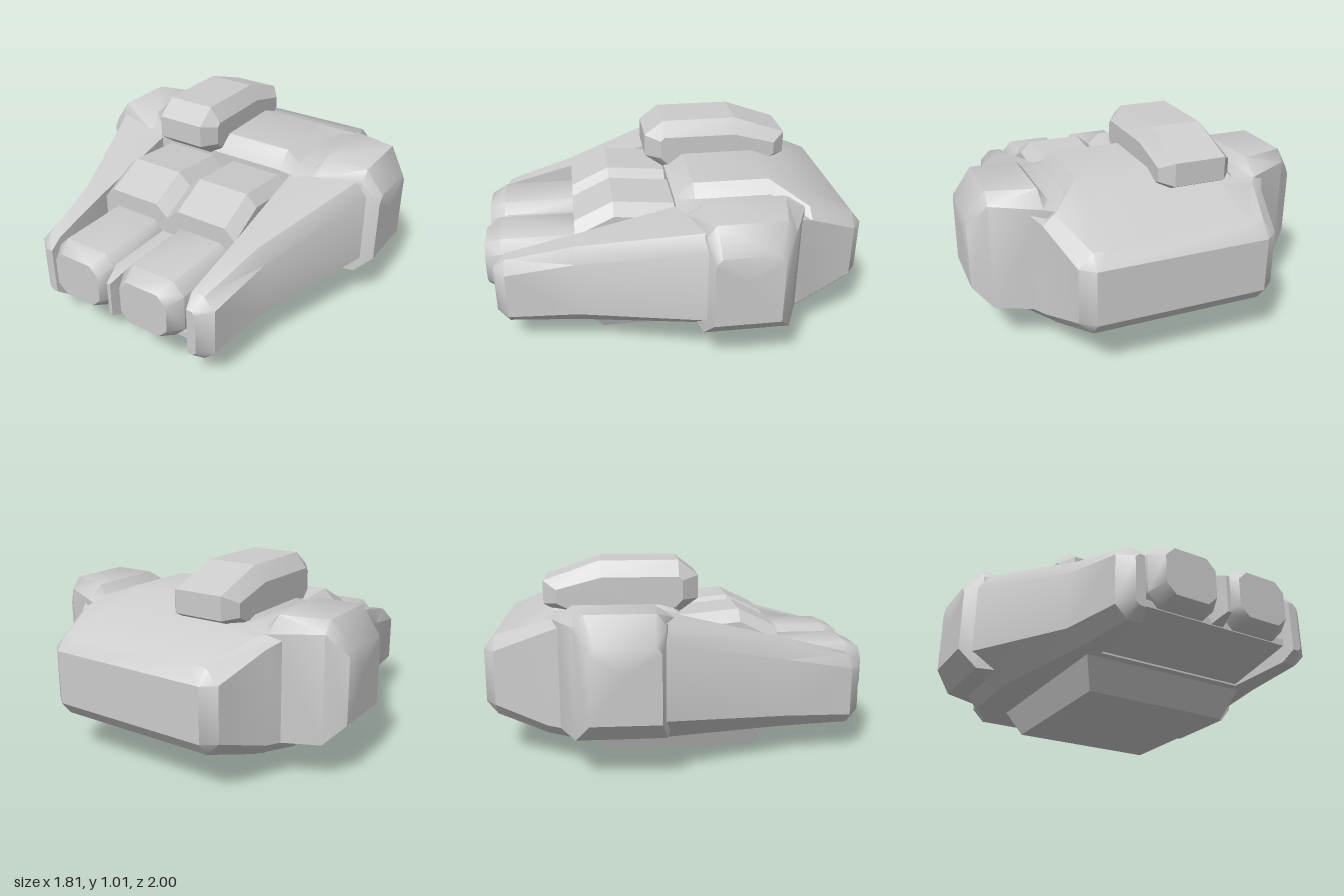
import * as THREE from 'three';
import { toCreasedNormals } from 'three/addons/utils/BufferGeometryUtils.js';

const material = new THREE.MeshStandardMaterial({ color: 0xcccccc });

// Skin a list of equal-length point loops and cap both ends; winding is made outward.
function loft(name, loops, crease = 0.6) {
  const n = loops[0].length;
  const pts = loops.flat();
  const tris = [];
  for (let i = 0; i < loops.length - 1; i++) {
    for (let j = 0; j < n; j++) {
      const a = i * n + j, b = i * n + (j + 1) % n;
      tris.push([a, b, b + n], [a, b + n, a + n]);
    }
  }
  for (const end of [0, loops.length - 1]) {
    const c = [0, 1, 2].map(k => loops[end].reduce((s, p) => s + p[k], 0) / n);
    const ci = pts.push(c) - 1;
    for (let j = 0; j < n; j++) {
      const a = end * n + j, b = end * n + (j + 1) % n;
      tris.push(end === 0 ? [ci, b, a] : [ci, a, b]);
    }
  }
  const v = pts.map(p => new THREE.Vector3(...p));
  const volume = tris.reduce((s, [a, b, c]) => s + v[a].dot(v[b].clone().cross(v[c])), 0);
  if (volume < 0) tris.forEach(t => t.reverse());
  // skip triangles that collapse where corners meet
  const solid = tris.filter(([a, b, c]) =>
    v[b].clone().sub(v[a]).cross(v[c].clone().sub(v[a])).length() > 1e-7);
  const geo = new THREE.BufferGeometry().setFromPoints(v);
  geo.setIndex(solid.flat());
  const mesh = new THREE.Mesh(toCreasedNormals(geo, crease), material);
  mesh.name = name;
  return mesh;
}

// Loop at depth z from [x, y] points
const atZ = (z, xy, s = 1) => xy.map(([x, y]) => [s * x, y, z]);
// Loop at position x from [z, y] points
const atX = (x, zy) => zy.map(([z, y]) => [x, y, z]);
// Symmetric loop from the +x half, listed bottom to top
const both = half => [...half, ...half.map(([x, y]) => [-x, y]).reverse()];

// Rectangle with cut corners
function octagon(x0, x1, y0, y1, cx, cy) {
  return [[x0 + cx, y0], [x1 - cx, y0], [x1, y0 + cy], [x1, y1 - cy],
    [x1 - cx, y1], [x0 + cx, y1], [x0, y1 - cy], [x0, y0 + cy]];
}

function createModel() {
  const model = new THREE.Group();

  // Central hull, tapering to the stern
  const hull = [
    [-1, [[.44, .30], [.44, .30], [.44, .58], [.44, .58], [.43, .58]]],
    [-.945, [[.44, .23], [.51, .30], [.51, .58], [.44, .65], [.36, .65]]],
    [-.68, [[.53, .15], [.59, .21], [.59, .69], [.53, .74], [.36, .755]]],
    [-.5, [[.64, .15], [.70, .21], [.70, .77], [.43, .77], [.36, .83]]],
    [-.1, [[.64, .15], [.70, .21], [.70, .765], [.43, .77], [.36, .83]]],
    [0, [[.62, .15], [.67, .21], [.67, .70], [.43, .74], [.36, .75]]],
  ];
  model.add(loft('hull', hull.map(([z, half]) => atZ(z, both(half)))));

  // Flared keel below the hull
  const rect = (y, x, z0, z1) => [[-x, y, z0], [x, y, z0], [x, y, z1], [-x, y, z1]];
  model.add(loft('keel', [rect(0, .4, -.4, .4), rect(.16, .465, -.505, .485)]));

  // Stepped deck between the arms, with a shallow groove along its middle
  const deck = (top, bottom) => both([[.42, bottom], [.42, top - .06], [.36, top], [.07, top], [0, top - .06]]);
  model.add(loft('deck', [
    atZ(-.05, deck(.715, .15)), atZ(.32, deck(.75, .15)), atZ(.525, deck(.65, .15)),
  ], 0.3));

  // Sloping floor under the front blocks
  const floor = (lo, hi) => both([[.43, lo], [.43, hi]]);
  model.add(loft('floor', [
    atZ(0, floor(.15, .3)), atZ(.48, floor(.15, .3)), atZ(.9, floor(.235, .27)),
  ]));

  // Fin between the front blocks
  const fin = (x, y0, y1) => both([[x, y0], [x, y1]]);
  model.add(loft('centreFin', [
    atZ(.4, fin(.035, .24, .5)), atZ(.9, fin(.035, .24, .5)), atZ(1, fin(.01, .27, .46)),
  ]));

  for (const s of [1, -1]) {
    const side = s > 0 ? 'left' : 'right';

    // Front block with a bevelled nose
    model.add(loft(side + 'FrontBlock', [
      atZ(.4, octagon(.03, .395, .24, .555, .06, .06), s),
      atZ(.915, octagon(.03, .395, .24, .555, .06, .06), s),
      atZ(1, octagon(.07, .35, .275, .515, .05, .05), s),
    ], 0.85));

    // Forward arm, narrowing to a blunt tip
    const arm = [
      [-.2, [[.43, .15], [.64, .15], [.87, .31], [.87, .69], [.80, .79], [.43, .76]]],
      [-.08, [[.43, .15], [.64, .15], [.83, .30], [.83, .68], [.78, .765], [.43, .755]]],
      [.53, [[.41, .15], [.53, .15], [.60, .23], [.60, .53], [.555, .61], [.43, .61]]],
      [.89, [[.41, .15], [.49, .15], [.55, .21], [.55, .46], [.49, .52], [.42, .52]]],
      [.95, [[.43, .20], [.46, .20], [.48, .22], [.48, .44], [.46, .46], [.43, .46]]],
    ];
    model.add(loft(side + 'Arm', arm.map(([z, xy]) => atZ(z, xy, s))));

    // Bulging side pod; each section runs front bottom, front top, crown, back
    const pod = (front, back, y0, yMid, yTop, inset) => [
      [front, y0], [front, yMid], [front - inset, yTop],
      [back + inset, yTop], [back, yMid], [back, y0],
    ];
    model.add(loft(side + 'Pod', [
      atX(s * .45, pod(-.03, -.66, .21, .74, .77, .08)),
      atX(s * .53, pod(-.03, -.65, .21, .74, .77, .08)),
      atX(s * .57, pod(-.04, -.64, .21, .75, .82, .1)),
      atX(s * .81, pod(-.09, -.53, .21, .76, .82, .05)),
      atX(s * .905, pod(-.12, -.46, .31, .65, .69, .03)),
    ], 0.75));
  }

  // Offset cabin on the roof with bevelled flanks
  const flank = [[.02, .81], [-.02, .77], [-.57, .77], [-.63, .80], [-.63, .87], [-.40, .93], [0, .93], [.02, .91]];
  const core = [[.105, .81], [0, .735], [-.59, .735], [-.7, .79], [-.7, .91], [-.41, 1.01], [0, 1.01], [.105, .93]];
  model.add(loft('cabin', [
    atX(-.41, flank), atX(-.35, core), atX(-.08, core), atX(-.02, flank),
  ], 0.3));

  return model;
}

export { createModel };
